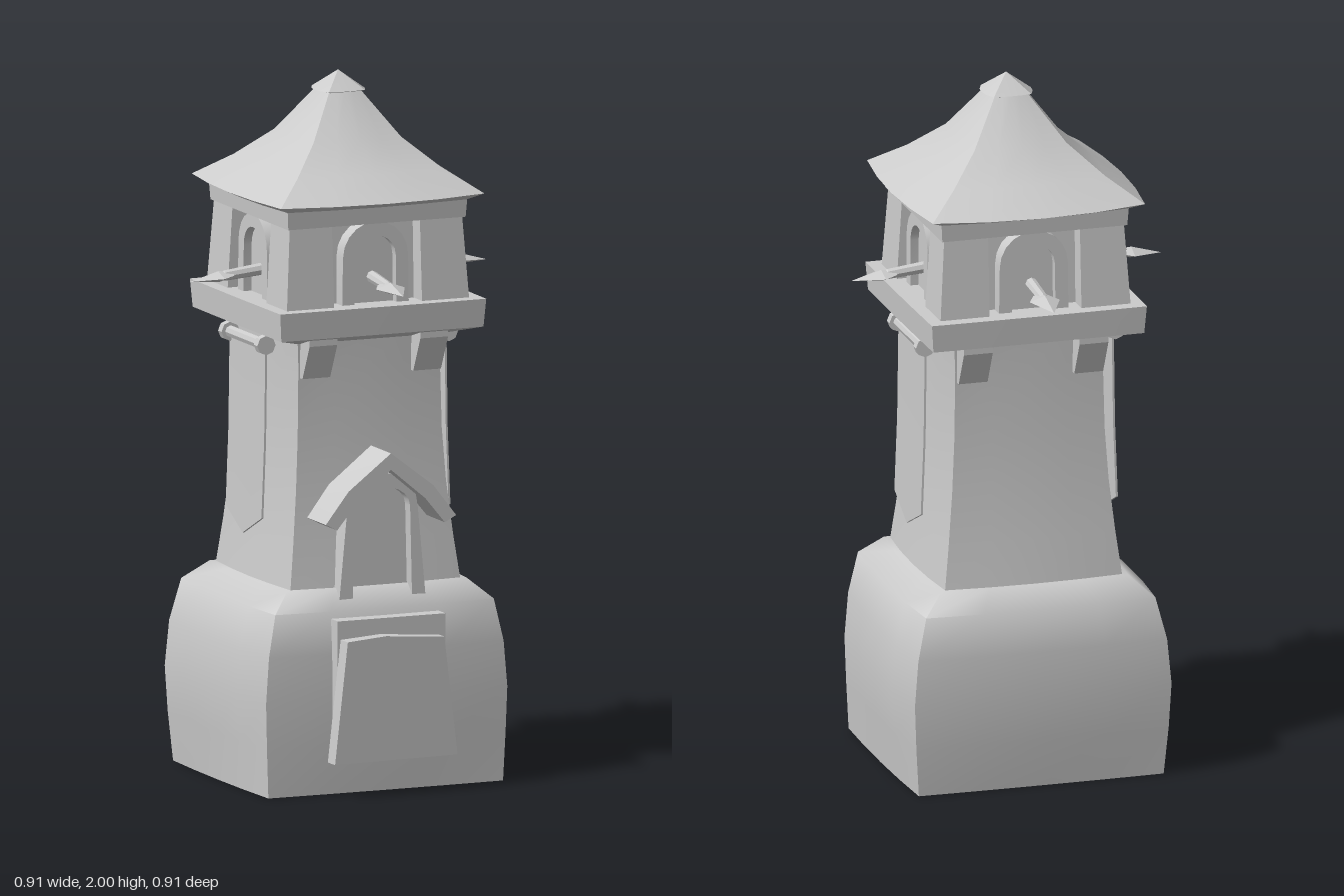
import * as THREE from 'three';
import { toCreasedNormals } from 'three/addons/utils/BufferGeometryUtils.js';

const material = new THREE.MeshStandardMaterial({ color: 0xcccccc, side: THREE.DoubleSide });
const CORNERS = [[1, 1], [1, -1], [-1, -1], [-1, 1]];

function add(parent, name, geometry, crease = 0.6) {
  const mesh = new THREE.Mesh(toCreasedNormals(geometry, crease), material);
  mesh.name = name;
  parent.add(mesh);
  return mesh;
}

// Square loft with bowed sides; each ring is [y, halfX, halfZ, bowX, bowZ]
function loft(rings, segs = 4) {
  const pos = [], index = [], n = segs * 4;
  for (const [y, hx, hz = hx, bx = 0, bz = 0] of rings) {
    for (let k = 0; k < 4; k++) {
      const [ax, az] = CORNERS[k], [cx, cz] = CORNERS[(k + 1) % 4];
      for (let s = 0; s < segs; s++) {
        const t = s / segs, bow = 4 * t * (1 - t);
        const x = ax + (cx - ax) * t, z = az + (cz - az) * t;
        pos.push(x * hx + (ax === cx ? ax * bx * bow : 0), y, z * hz + (az === cz ? az * bz * bow : 0));
      }
    }
  }
  const last = rings.length - 1;
  pos.push(0, rings[0][0], 0, 0, rings[last][0], 0);
  const low = n * rings.length, high = low + 1;
  for (let i = 0; i < n; i++) {
    const j = (i + 1) % n;
    for (let r = 0; r < last; r++) {
      const a = r * n + i, b = r * n + j;
      index.push(a, b, b + n, a, b + n, a + n);
    }
    index.push(low, j, i, high, last * n + i, last * n + j);
  }
  const g = new THREE.BufferGeometry();
  g.setAttribute('position', new THREE.Float32BufferAttribute(pos, 3));
  g.setIndex(index);
  return g;
}

const polygon = pts => new THREE.Shape(pts.map(([x, y]) => new THREE.Vector2(x, y)));

function extrude(shape, z0, z1) {
  const g = new THREE.ExtrudeGeometry(shape, { depth: z1 - z0, bevelEnabled: false, curveSegments: 8 });
  return g.translate(0, 0, z0);
}

// Side profile in (z, y), swept across x
function sweepX(pts, width, x) {
  return extrude(polygon(pts), -width / 2, width / 2).rotateY(-Math.PI / 2).translate(x, 0, 0);
}

// Arched outline: half width at the foot and at the spring line
function archPoints(foot, spring, y0, y1, top) {
  const pts = [[-foot, y0], [foot, y0]];
  for (let i = 0; i <= 10; i++) {
    const a = Math.PI * i / 10;
    pts.push([Math.cos(a) * spring, y1 + Math.sin(a) * (top - y1)]);
  }
  return pts;
}

function archFrame(outer, inner) {
  const shape = polygon(outer);
  shape.holes.push(polygon(inner));
  return shape;
}

function createSpear() {
  const spear = new THREE.Group();
  spear.name = 'spear';
  add(spear, 'spearShaft', new THREE.CylinderGeometry(0.015, 0.018, 0.14, 8).rotateX(Math.PI / 2).translate(0, 0, 0.28));
  add(spear, 'spearShaftTip', new THREE.ConeGeometry(0.015, 0.03, 8).rotateX(Math.PI / 2).translate(0, 0, 0.365));
  const flat = g => g.rotateX(Math.PI / 2).scale(1, 0.36, 1);
  add(spear, 'spearPoint', flat(new THREE.ConeGeometry(0.044, 0.09, 4)).translate(0, 0, 0.413), 0.1);
  add(spear, 'spearSocket', flat(new THREE.CylinderGeometry(0.044, 0.022, 0.04, 4)).translate(0, 0, 0.348), 0.1);
  spear.rotation.x = 0.1;
  spear.position.y = 1.472;
  return spear;
}

// Arched window with its spear, facing +z
function createWindow() {
  const w = new THREE.Group();
  w.name = 'window';
  const inner = archPoints(0.064, 0.062, 1.37, 1.51, 1.57);
  add(w, 'windowFrame', extrude(archFrame(archPoints(0.102, 0.1, 1.37, 1.51, 1.61), inner), 0.2, 0.262));
  add(w, 'windowPanel', extrude(polygon(inner), 0.2, 0.238));
  w.add(createSpear());
  return w;
}

// Hanging cloth on a rod, facing +x
function createBanner() {
  const b = new THREE.Group();
  b.name = 'banner';
  const cloth = sweepX([[0, 0]], 0, 0) && extrude(polygon(
    [[-0.125, 1.25], [-0.125, 0.98], [-0.125, 0.76], [0, 0.7], [0.125, 0.76], [0.125, 0.98], [0.125, 1.25]]
  ), -0.003, 0.003).rotateY(Math.PI / 2);
  const p = cloth.attributes.position;
  for (let i = 0; i < p.count; i++) p.setX(i, p.getX(i) + 0.275 + 0.05 * (1.25 - p.getY(i)) ** 2);
  add(b, 'bannerCloth', cloth);
  const rod = (name, r, len, z) =>
    add(b, name, new THREE.CylinderGeometry(r, r, len, 8).rotateX(Math.PI / 2).translate(0.28, 1.255, z));
  rod('bannerRod', 0.017, 0.25, 0);
  for (const s of [1, -1]) rod('rodEnd', 0.028, 0.025, s * 0.125);
  return b;
}

function createDoorway() {
  const d = new THREE.Group();
  d.name = 'doorway';
  const inner = archPoints(0.092, 0.085, 0.49, 0.8, 0.86);
  add(d, 'doorFrame', extrude(archFrame(archPoints(0.138, 0.108, 0.48, 0.8, 0.9), inner), 0.2, 0.31));
  add(d, 'door', extrude(polygon(inner), 0.2, 0.275));
  // Gabled hood over the door
  const outer = [[0.2, 0.775], [0.13, 0.865], [0, 0.965]];
  const under = [[0, 0.918], [0.105, 0.83], [0.165, 0.757]];
  const flip = pts => pts.map(([x, y]) => [-x, y]).reverse();
  add(d, 'doorHood', extrude(polygon([...outer, ...flip(outer).slice(1), ...flip(under), ...under.slice(1)]), 0.2, 0.37), 0.45);
  // Landing block and the leaning panel before it
  add(d, 'landing', sweepX([[0.25, 0.5], [0.25, 0.1], [0.345, 0.1], [0.385, 0.38], [0.385, 0.5]], 0.33, -0.005), 0.1);
  const panel = add(d, 'rampPanel', extrude(polygon([[-0.2, 0.1], [0.185, 0.1], [0.143, 0.44], [-0.04, 0.455], [-0.16, 0.447]]), -0.024, 0.022));
  panel.position.z = 0.4;
  panel.rotation.y = 0.05;
  return d;
}

export function createModel() {
  const tower = new THREE.Group();
  tower.name = 'watchtower';

  // Swollen stone base, slightly deeper at the back
  const base = loft([
    [0, 0.36, 0.333, 0.008, 0.004], [0.14, 0.366, 0.337, 0.014, 0.01], [0.27, 0.37, 0.34, 0.022, 0.012],
    [0.4, 0.36, 0.337, 0.018, 0.012], [0.52, 0.335, 0.325, 0.015, 0.015], [0.575, 0.275, 0.272, 0.012, 0.012]
  ]);
  const bp = base.attributes.position;
  for (let i = 0; i < bp.count; i++) {
    const swell = Math.sin(Math.PI * Math.min(bp.getY(i) / 0.575, 1));
    if (bp.getZ(i) < 0) {
      bp.setZ(i, bp.getZ(i) - 0.012 * swell);
      bp.setX(i, bp.getX(i) * (1 + 0.02 * swell));
    }
  }
  add(tower, 'base', base, 1.0);

  // Flared shaft
  add(tower, 'shaft', loft([
    [0.56, 0.262, 0.262, 0.014, 0.014], [0.7, 0.245, 0.245, 0.01, 0.01], [0.85, 0.23, 0.23, 0.008, 0.008],
    [1.0, 0.221, 0.221, 0.006, 0.006], [1.2, 0.217, 0.217, 0.004, 0.004], [1.29, 0.222]
  ]), 0.9);

  // Platform with a sloped underside, and its brackets front and back
  add(tower, 'platform', loft([[1.265, 0.21], [1.295, 0.31], [1.375, 0.316], [1.376, 0.25]].map(([y, h]) => [y, h, h, 0.002, 0.002])), 0.3);
  for (const side of [0, Math.PI]) {
    for (const x of [-0.17, 0.17]) {
      const bracket = add(tower, 'bracket', sweepX([[0.19, 1.3], [0.19, 1.17], [0.235, 1.17], [0.285, 1.27], [0.285, 1.3]], 0.085, x), 0.1);
      bracket.rotation.y = side;
    }
    const banner = createBanner();
    banner.rotation.y = side;
    tower.add(banner);
  }
  tower.add(createDoorway());

  // Lookout room: recessed walls, corner pillars, windows and top trim
  add(tower, 'roomWall', loft([[1.36, 0.222], [1.65, 0.212]]));
  for (const [sx, sz] of CORNERS) {
    const pillar = new THREE.BoxGeometry(0.145, 0.25, 0.145).translate(sx * 0.2075, 1.49, sz * 0.2075);
    const p = pillar.attributes.position;
    for (let i = 0; i < p.count; i++) {
      if (p.getY(i) < 1.5) continue;
      if (Math.abs(p.getX(i)) > 0.2) p.setX(i, p.getX(i) - sx * 0.016);
      if (Math.abs(p.getZ(i)) > 0.2) p.setZ(i, p.getZ(i) - sz * 0.016);
    }
    add(tower, 'cornerPillar', pillar, 0.1);
  }
  for (let k = 0; k < 4; k++) {
    const w = createWindow();
    w.rotation.y = k * Math.PI / 2;
    tower.add(w);
  }
  add(tower, 'topTrim', loft([[1.605, 0.272], [1.665, 0.276]]));

  // Bowed tent roof and its cap
  add(tower, 'roof', loft([
    [1.655, 0.275, 0.275, 0.02, 0.02], [1.675, 0.312, 0.312, 0.026, 0.044], [1.74, 0.222, 0.222, 0.024, 0.03],
    [1.82, 0.135, 0.135, 0.018, 0.018], [1.95, 0.046, 0.046, 0.006, 0.006]
  ]), 0.55);
  add(tower, 'roofCap', loft([[1.94, 0.04], [1.948, 0.055, 0.062, 0.018, 0.004], [2, 0.001]]), 0.4);
  return tower;
}
